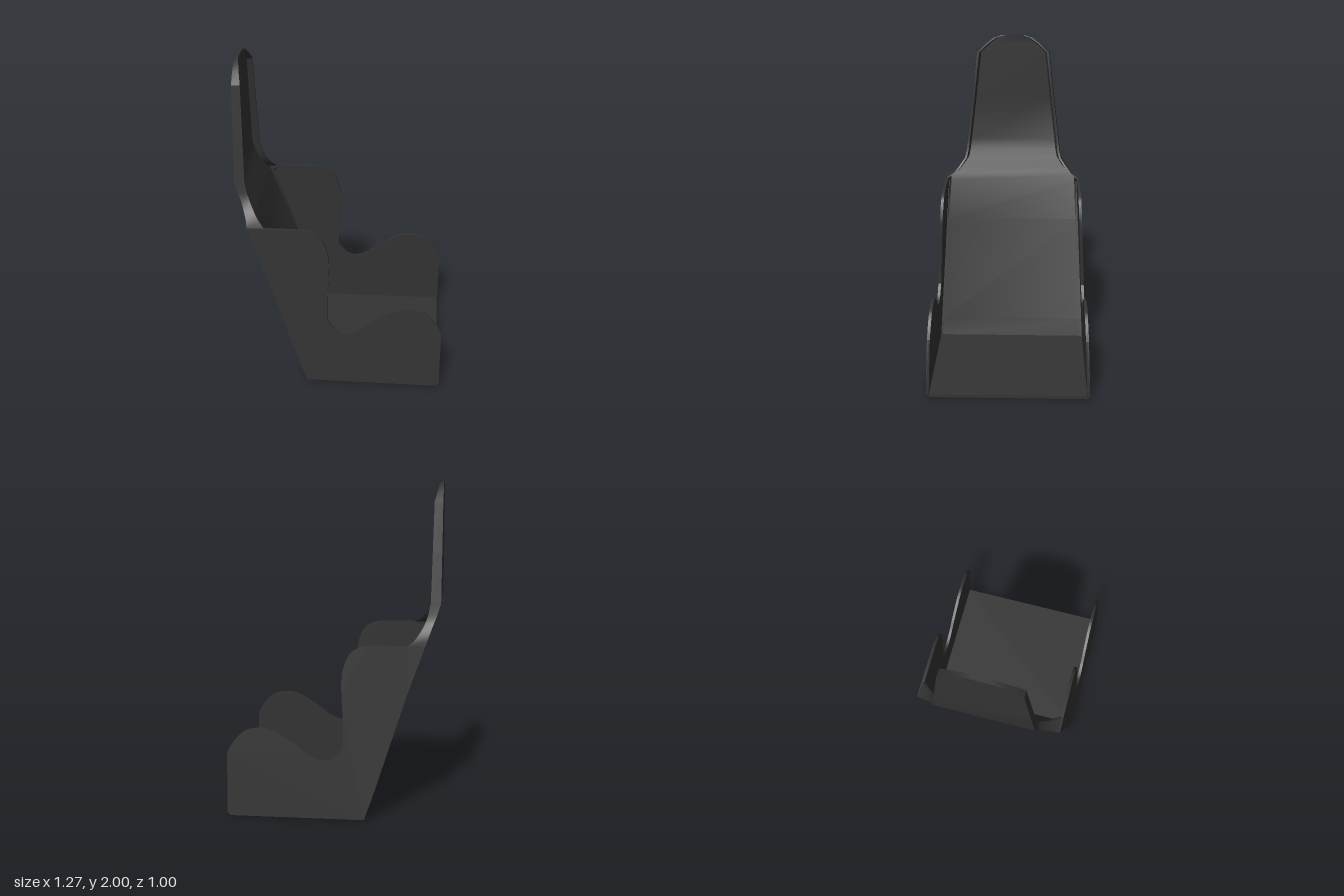
import * as THREE from 'three';
import { toCreasedNormals } from 'three/addons/utils/BufferGeometryUtils.js';

const T = 0.018; // shell thickness

// half width of the lower shell, narrowing with height
const halfWidth = (y) => 0.5 - 0.047 * y;

// side wall: thigh lobe and torso wing in one outline, leaning inward
function sideWallGeometry() {
  const v = (pts) => pts.map(([x, y]) => new THREE.Vector2(x, y));
  const shape = new THREE.Shape();
  shape.moveTo(-0.2, 0.005);
  shape.lineTo(0.62, 0);
  shape.lineTo(0.635, 0.02);
  shape.lineTo(0.635, 0.39);
  shape.splineThru(v([[0.6, 0.455], [0.53, 0.525], [0.43, 0.55], [0.34, 0.53], [0.22, 0.46],
    [0.13, 0.39], [0.05, 0.36], [-0.01, 0.377], [-0.07, 0.45]]));
  shape.splineThru(v([[-0.07, 0.6], [-0.06, 0.78], [-0.064, 0.9], [-0.1, 1.0], [-0.15, 1.045], [-0.22, 1.064]]));
  shape.lineTo(-0.45, 1.066);
  shape.lineTo(-0.548, 1.06);
  shape.lineTo(-0.45, 0.78);
  shape.lineTo(-0.245, 0.13);
  const geo = new THREE.ExtrudeGeometry(shape, { depth: T, bevelEnabled: false, curveSegments: 36 });
  const p = geo.attributes.position;
  for (let i = 0; i < p.count; i++) p.setZ(i, p.getZ(i) - T + halfWidth(p.getY(i)));
  return toCreasedNormals(geo, 0.6);
}

// back and headrest: shallow channel sections lofted upward
// each station: height, rear x, half width, front x of the side flange
function backGeometry() {
  const stations = [
    [0.005, -0.2, 0.496, -0.175], [0.13, -0.245, 0.49, -0.22], [0.78, -0.45, 0.46, -0.425],
    [1.03, -0.538, 0.449, -0.5], [1.066, -0.55, 0.447, -0.45], [1.09, -0.56, 0.4, -0.485],
    [1.13, -0.575, 0.365, -0.515], [1.18, -0.594, 0.33, -0.543], [1.23, -0.613, 0.319, -0.56],
    [1.3, -0.635, 0.311, -0.574], [1.6, -0.635, 0.275, -0.579], [1.89, -0.635, 0.242, -0.584],
    [1.95, -0.635, 0.18, -0.598], [1.985, -0.635, 0.13, -0.607], [2.0, -0.635, 0.08, -0.615],
  ];
  const pos = [], idx = [], N = 8;
  for (const [y, b, w, f] of stations) {
    const half = [[b, w], [f, w - 0.004], [f, w - T], [b + T, w - T - 0.012]];
    const ring = [...half, ...half.map(([x, z]) => [x, -z]).reverse()];
    for (const [x, z] of ring) pos.push(x, y, z);
  }
  for (let s = 0; s < stations.length - 1; s++) {
    for (let i = 0; i < N; i++) {
      const a = s * N + i, b = s * N + (i + 1) % N;
      idx.push(a, b, b + N, a, b + N, a + N);
    }
  }
  // end caps: two flanges and the plate between them
  const top = (stations.length - 1) * N;
  for (const [a, b, c, d] of [[0, 1, 2, 3], [0, 3, 4, 7], [4, 5, 6, 7]]) {
    idx.push(d, c, b, d, b, a, top + a, top + b, top + c, top + a, top + c, top + d);
  }
  // wind every face outward
  const geo = new THREE.BufferGeometry();
  geo.setAttribute('position', new THREE.Float32BufferAttribute(pos, 3));
  geo.setIndex(idx);
  return toCreasedNormals(geo, 0.6);
}

export function createModel() {
  const group = new THREE.Group();
  const material = new THREE.MeshStandardMaterial({ color: 0x333333, side: THREE.DoubleSide });
  const add = (name, geo) => {
    const mesh = new THREE.Mesh(geo, material);
    mesh.name = name;
    group.add(mesh);
    return mesh;
  };

  // seat pan
  const pan = add('seatPan', new THREE.BoxGeometry(0.825, T, 0.984));
  pan.position.set(0.2165, T / 2 + 0.003, 0);

  add('backAndHeadrest', backGeometry());

  // mirrored side walls
  const wall = sideWallGeometry();
  add('sideWall', wall);
  const mirrored = wall.clone().scale(1, 1, -1);
  const p = mirrored.attributes.position, n = mirrored.attributes.normal;
  for (const attr of [p, n]) {
    for (let i = 0; i < attr.count; i += 3) {
      const a = [attr.getX(i + 1), attr.getY(i + 1), attr.getZ(i + 1)];
      attr.setXYZ(i + 1, attr.getX(i + 2), attr.getY(i + 2), attr.getZ(i + 2));
      attr.setXYZ(i + 2, ...a);
    }
  }
  add('oppositeSideWall', mirrored);
  return group;
}
